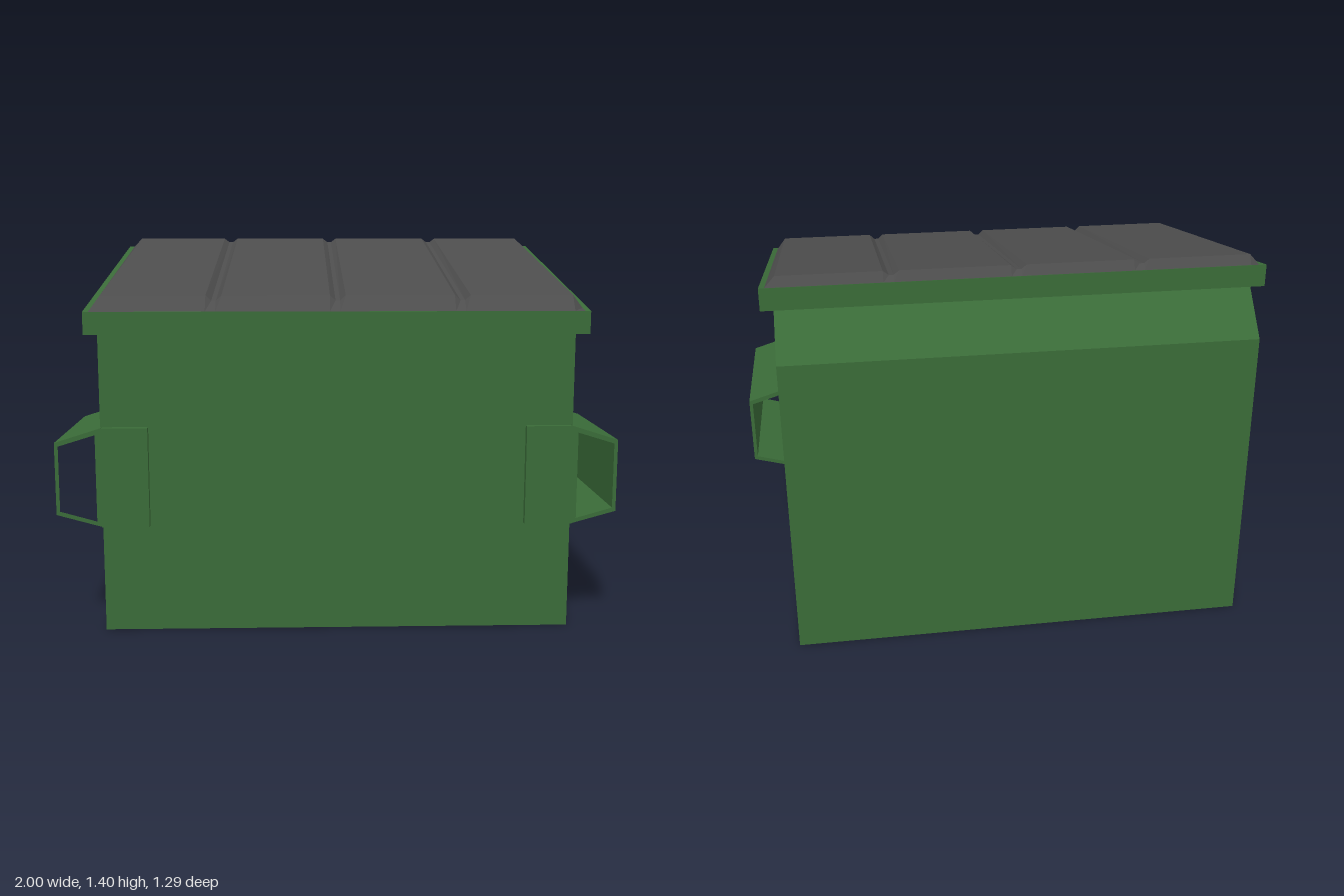
import * as THREE from 'three';

const green = new THREE.MeshStandardMaterial({ color: 0x3a6b38, flatShading: true });
const grey = new THREE.MeshStandardMaterial({ color: 0x4d4d4d, flatShading: true, side: THREE.DoubleSide });

const polygon = (points) => new THREE.Shape(points.map(([a, b]) => new THREE.Vector2(a, b)));

// Side profile given as [z, y], extruded across x and centred on the given x
function sideExtrude(name, points, width, x = 0) {
  const geometry = new THREE.ExtrudeGeometry(polygon(points), { depth: width, bevelEnabled: false });
  geometry.translate(0, 0, -width / 2).rotateY(-Math.PI / 2).translate(x, 0, 0);
  const mesh = new THREE.Mesh(geometry, green);
  mesh.name = name;
  return mesh;
}

// Sloping plane on which the lid rests
const rimTop = (z) => 1.155 + (0.645 - z) * 0.178;

function createRim() {
  const rim = new THREE.Group();
  rim.name = 'rim';
  const height = 0.08, wall = 0.02, front = 0.645, back = -0.535, halfWidth = 0.885;
  const band = (z0, z1) => [[z1, rimTop(z1) - height], [z0, rimTop(z0) - height], [z0, rimTop(z0)], [z1, rimTop(z1)]];
  for (const s of [-1, 1]) {
    rim.add(sideExtrude('rimSide', band(front, back), wall, s * (halfWidth - wall / 2)));
  }
  const inner = 2 * (halfWidth - wall);
  rim.add(sideExtrude('rimFront', band(front, front - wall), inner));
  rim.add(sideExtrude('rimBack', band(back + wall, back), inner));
  return rim;
}

// Ribbed lid: a grid of z rows and x columns, raised by the product of both heights
function createLid() {
  const columns = [[-0.865, 0], [-0.83, 1]];
  for (const x of [-0.435, 0, 0.44]) {
    columns.push([x - 0.028, 1], [x - 0.008, 0.6], [x + 0.008, 0.6], [x + 0.028, 1]);
  }
  columns.push([0.83, 1], [0.865, 0]);
  const rows = [[0.643, 0], [0.6, 0.046], [-0.51, 0.038], [-0.53, 0]];
  const positions = [], index = [], n = columns.length;
  for (const [z, h] of rows) {
    for (const [x, k] of columns) positions.push(x, rimTop(z) + h * k, z);
  }
  for (let r = 0; r < rows.length - 1; r++) {
    for (let c = 0; c < n - 1; c++) {
      const a = r * n + c, b = a + n;
      index.push(a, a + 1, b + 1, a, b + 1, b);
    }
  }
  // Flat underside
  const last = (rows.length - 1) * n;
  index.push(0, last + n - 1, n - 1, 0, last, last + n - 1);
  const geometry = new THREE.BufferGeometry();
  geometry.setAttribute('position', new THREE.Float32BufferAttribute(positions, 3));
  geometry.setIndex(index);
  const flat = geometry.toNonIndexed();
  flat.computeVertexNormals();
  const lid = new THREE.Mesh(flat, grey);
  lid.name = 'lid';
  return lid;
}

// Open-ended sleeve for a lifting fork, with its mounting plate on the front wall
function createForkPocket(s) {
  const pocket = new THREE.Group();
  pocket.name = s > 0 ? 'leftForkPocket' : 'rightForkPocket';
  const mirror = (points) => points.map(([x, y]) => [s * x, y]);
  const shape = polygon(mirror([[0.835, 0.389], [1, 0.435], [1, 0.695], [0.835, 0.747]]));
  shape.holes.push(polygon(mirror([[0.857, 0.41], [0.987, 0.447], [0.987, 0.682], [0.857, 0.722]])));
  const sleeve = new THREE.Mesh(new THREE.ExtrudeGeometry(shape, { depth: 0.585, bevelEnabled: false }), green);
  sleeve.position.z = 0.055;
  sleeve.name = 'forkSleeve';
  const plate = new THREE.Mesh(new THREE.BoxGeometry(0.17, 0.357, 0.03), green);
  plate.position.set(s * 0.757, 0.5675, 0.625);
  plate.name = 'forkPlate';
  pocket.add(sleeve, plate);
  return pocket;
}

export function createModel() {
  const model = new THREE.Group();
  model.name = 'wasteContainer';
  const body = [[-0.645, 0], [0.615, 0], [0.615, 1.083], [-0.51, 1.28], [-0.645, 1.127]];
  model.add(sideExtrude('body', body, 1.682));
  model.add(createRim(), createLid(), createForkPocket(1), createForkPocket(-1));
  return model;
}
